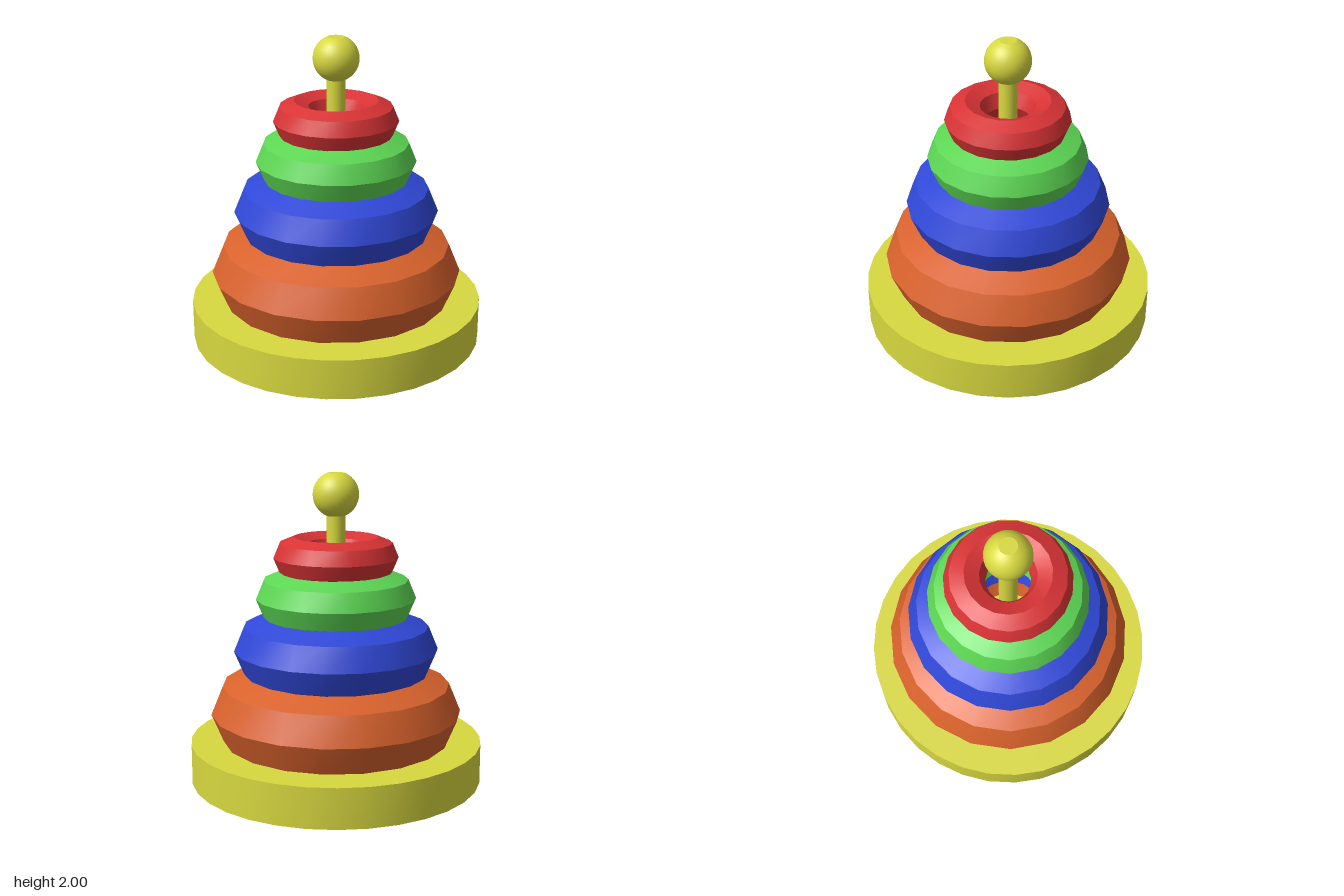
import * as THREE from 'three';
import { toCreasedNormals } from 'three/addons/utils/BufferGeometryUtils.js';

const YELLOW = 0xd8d840;

export function createModel() {
  const model = new THREE.Group();
  model.name = 'stackingRings';

  const add = (name, geometry, color, y, crease = 0.6) => {
    const material = new THREE.MeshStandardMaterial({ color });
    const mesh = new THREE.Mesh(toCreasedNormals(geometry, crease), material);
    mesh.name = name;
    mesh.position.y = y;
    model.add(mesh);
  };

  // Round base and the post standing in it
  add('base', new THREE.CylinderGeometry(0.952, 0.952, 0.26, 32), YELLOW, 0.13);
  add('post', new THREE.CylinderGeometry(0.06, 0.06, 1.55, 24), YELLOW, 0.975);

  // Ball on the post, flattened at both poles
  const radius = 0.147, limit = Math.asin(0.136 / radius), steps = 14;
  const profile = [new THREE.Vector2(0, -0.136)];
  for (let i = 0; i <= steps; i++) {
    const a = -limit + (2 * limit * i) / steps;
    profile.push(new THREE.Vector2(radius * Math.cos(a), radius * Math.sin(a)));
  }
  profile.push(new THREE.Vector2(0, 0.136));
  add('ball', new THREE.LatheGeometry(profile, 32), YELLOW, 1.864, 0.4);

  // Chunky eight-sided rings, largest at the bottom: centre radius, tube radius, height
  const rings = [
    ['orangeRing', 0xd9622c, 0.555, 0.261, 0.449],
    ['blueRing', 0x3048d8, 0.446, 0.216, 0.865],
    ['greenRing', 0x5cd653, 0.346, 0.17, 1.201],
    ['redRing', 0xd93335, 0.27, 0.131, 1.465],
  ];
  for (const [name, color, centre, tube, y] of rings) {
    add(name, new THREE.TorusGeometry(centre, tube, 8, 19).rotateX(Math.PI / 2), color, y);
  }

  return model;
}
